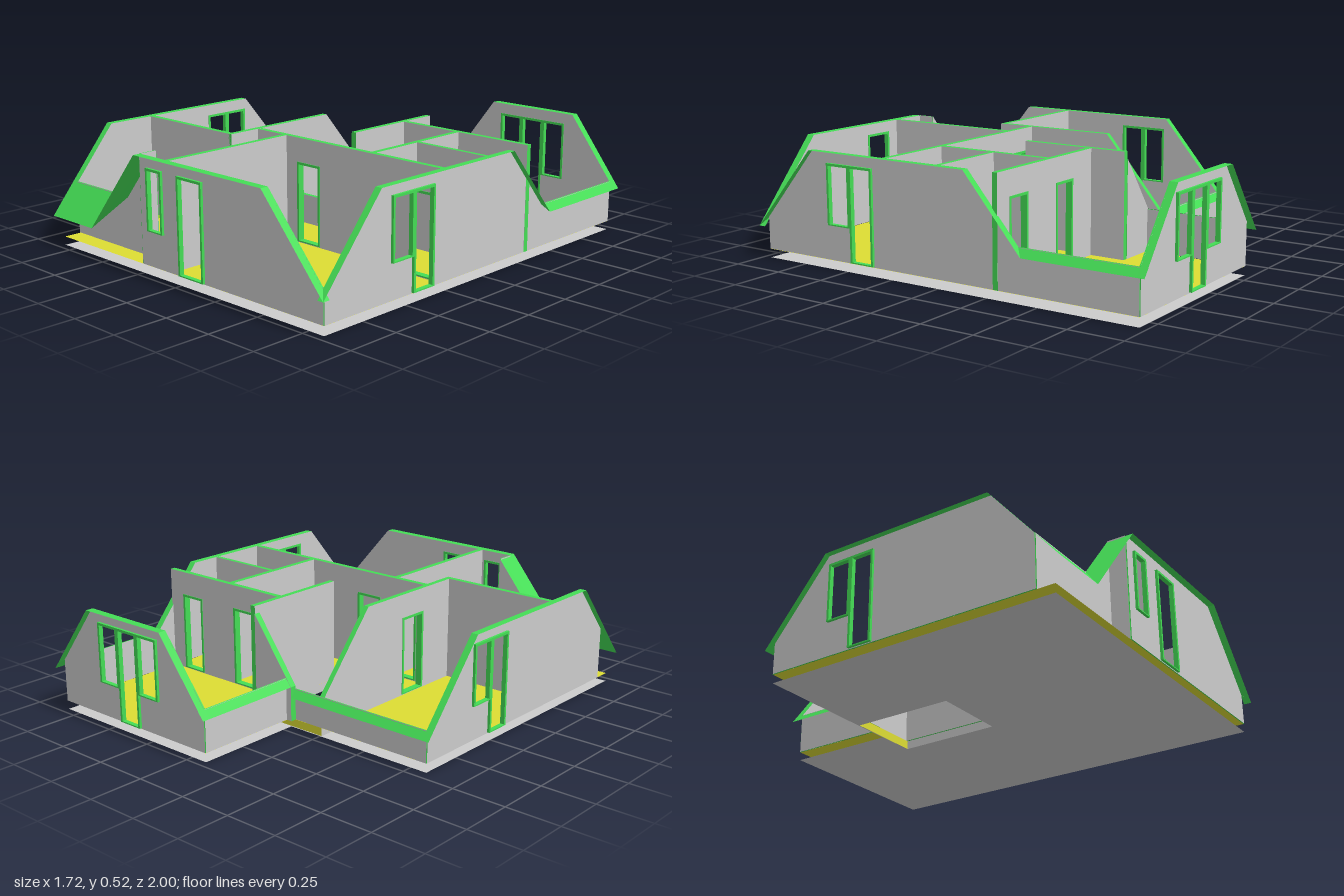
import * as THREE from 'three';

const FLOOR = 0.042, TOP = 0.525;

export function createModel() {
  const root = new THREE.Group();
  root.name = 'upperFloor';
  const mat = (color) => new THREE.MeshStandardMaterial({ color, side: THREE.DoubleSide, flatShading: true });
  const grey = mat(0xcccccc), green = mat(0x44dd55), yellow = mat(0xdddd33);

  const add = (name, geometry, material) => {
    const mesh = new THREE.Mesh(geometry, material);
    mesh.name = name;
    root.add(mesh);
    return mesh;
  };
  const poly = (pts) => new THREE.Shape(pts.map(([a, b]) => new THREE.Vector2(a, b)));
  const rect = (a0, a1, b0, b1) => [[a0, b0], [a1, b0], [a1, b1], [a0, b1]];

  // Extrude an upright outline running along x or z, between pos and pos + depth
  function upright(name, axis, pos, depth, shape, material) {
    const geo = new THREE.ExtrudeGeometry(shape, { depth, bevelEnabled: false });
    const mesh = add(name, geo, material);
    if (axis === 'x') mesh.position.z = pos;
    else {
      mesh.rotation.y = -Math.PI / 2;
      mesh.position.x = pos + depth;
    }
  }

  // Wall with grey faces, green cut edges and a green frame in each opening [u0, u1, y0, y1]
  function wall(name, axis, pos, depth, outline, openings = [], out = 0) {
    const shape = poly(outline);
    for (const [u0, u1, y0, y1] of openings) {
      shape.holes.push(poly(rect(u0, u1, y0, y1)));
      const frame = poly(rect(u0, u1, y0, y1)), t = 0.011;
      frame.holes.push(poly(rect(u0 + t, u1 - t, y0 + t / 2, y1 - t)));
      const from = pos - (out < 0 ? 0.012 : 0.003);
      upright(name + 'Frame', axis, from, depth + (out ? 0.015 : 0.006), frame, green);
    }
    upright(name, axis, pos, depth, shape, [grey, green]);
  }

  // Strip of quads between two rows of points
  function ribbon(name, a, b) {
    const pos = [], index = [];
    a.forEach((p, i) => {
      pos.push(...p, ...b[i]);
      if (i) index.push(2 * i - 2, 2 * i - 1, 2 * i, 2 * i, 2 * i - 1, 2 * i + 1);
    });
    const geo = new THREE.BufferGeometry();
    geo.setAttribute('position', new THREE.Float32BufferAttribute(pos, 3));
    geo.setIndex(index);
    const flat = geo.toNonIndexed();
    flat.computeVertexNormals();
    add(name, flat, green);
  }

  // Floor and underside sheets with the stairwell opening
  const plan = poly([[-0.83, 0.965], [0.83, 0.965], [0.83, -0.965], [-0.08, -0.965], [-0.08, -0.45], [-0.83, -0.45]]);
  plan.holes.push(poly(rect(-0.255, 0.105, -0.445, 0.045)));
  [['floor', 0.04, yellow], ['underside', 0, grey]].forEach(([name, y, m]) => {
    const geo = new THREE.ShapeGeometry(plan).rotateX(Math.PI / 2);
    add(name, geo, m).position.y = y;
  });
  for (const z of [-0.445, 0.045]) {
    add('stairwellEdge', new THREE.PlaneGeometry(0.36, 0.04), yellow).position.set(-0.075, 0.02, z);
  }
  for (const x of [-0.255, 0.105]) {
    add('stairwellSide', new THREE.PlaneGeometry(0.49, 0.04).rotateY(Math.PI / 2), grey).position.set(x, 0.02, -0.2);
  }

  // Outer walls: thin sheets cut by the roof slopes
  const D = 0.006;
  wall('frontWall', 'x', 0.962, D,
    [[-0.25, FLOOR], [0.83, FLOOR], [0.83, 0.185], [0.53, TOP], [-0.25, TOP]],
    [[-0.2, -0.1, 0.2, 0.475], [0, 0.155, 0.046, 0.475]], 1);
  wall('rightWall', 'z', 0.827, D,
    [[0.965, FLOOR], [0.965, 0.19], [0.68, TOP], [-0.16, TOP], [-0.41, 0.235], [-0.965, 0.235], [-0.965, FLOOR]],
    [[0.34, 0.467, 0.046, 0.475], [0.467, 0.594, 0.2, 0.475]], 1);
  wall('leftWall', 'z', -0.833, D,
    [[0.88, FLOOR], [0.88, 0.285], [0.68, TOP], [-0.16, TOP], [-0.45, 0.185], [-0.45, FLOOR]],
    [[-0.15, -0.03, 0.2, 0.475], [-0.03, 0.09, 0.046, 0.475]], -1);
  wall('backWall', 'x', -0.968, D,
    [[-0.08, FLOOR], [0.83, FLOOR], [0.83, 0.24], [0.61, TOP], [0.14, TOP], [-0.08, 0.24]],
    [[0.19, 0.315, 0.2, 0.475], [0.315, 0.44, 0.046, 0.475], [0.44, 0.565, 0.2, 0.475]], -1);
  wall('backKneeWall', 'x', -0.453, D, rect(-0.83, -0.1, FLOOR, 0.185));
  wall('wingKneeWall', 'z', -0.083, D, rect(-0.965, -0.46, FLOOR, 0.235));
  wall('frontKneeWall', 'x', 0.877, D,
    [[-0.83, FLOOR], [-0.25, FLOOR], [-0.25, TOP], [-0.45, 0.285], [-0.83, 0.285]]);
  wall('frontReturn', 'z', -0.255, D, rect(0.88, 0.965, FLOOR, TOP));

  // Roof edge strips along the tops of the outer walls
  const sideEdge = (x, pts) => pts.map(([z, y]) => [x, y, z]);
  const endEdge = (z, pts) => pts.map(([x, y]) => [x, y, z]);
  const rightTop = [[1, 0.15], [0.68, TOP], [-0.16, TOP]];
  ribbon('rightRoofEdge', sideEdge(0.83, [...rightTop, [-0.41, 0.237], [-1, 0.237]]),
    sideEdge(0.86, [...rightTop, [-0.44, 0.2], [-1, 0.2]]));
  const leftTop = [[0.88, 0.285], [0.68, TOP], [-0.16, TOP], [-0.48, 0.15]];
  ribbon('leftRoofEdge', sideEdge(-0.83, leftTop), sideEdge(-0.86, leftTop));
  const frontTop = [[-0.25, TOP], [0.53, TOP], [0.86, 0.15]];
  ribbon('frontRoofEdge', endEdge(0.965, frontTop), endEdge(1, frontTop));
  const backTop = [[-0.11, 0.2], [0.14, TOP], [0.61, TOP], [0.86, 0.2]];
  ribbon('backRoofEdge', endEdge(-0.965, backTop), endEdge(-1, backTop));
  ribbon('backEave', endEdge(-0.45, [[-0.86, 0.185], [-0.1, 0.185]]), endEdge(-0.48, [[-0.86, 0.15], [-0.1, 0.15]]));
  ribbon('wingEave', sideEdge(-0.08, [[-1, 0.237], [-0.46, 0.237]]), sideEdge(-0.11, [[-1, 0.2], [-0.46, 0.2]]));

  // Front left roof slope and the gable slope meeting it in a valley
  ribbon('frontRoofSlope', endEdge(0.88, [[-0.86, 0.285], [-0.45, 0.285]]), endEdge(1, [[-0.86, 0.14], [-0.57, 0.14]]));
  ribbon('gableRoofSlope', endEdge(0.88, [[-0.45, 0.285], [-0.25, TOP]]), endEdge(1, [[-0.57, 0.14], [-0.25, TOP]]));

  // Inner walls
  const T = 0.025, door = (a, b) => [a, b, 0.046, 0.415];
  const full = (a, b) => rect(a, b, FLOOR, TOP);
  wall('leftRoomWall', 'z', -0.277, T,
    [[0.45, FLOOR], [0.45, TOP], [-0.16, TOP], [-0.45, 0.185], [-0.45, FLOOR]], [door(0.08, 0.23)]);
  wall('leftRoomFrontWall', 'x', 0.425, T, full(-0.827, -0.253));
  wall('crossWall', 'x', 0.265, T, full(-0.25, 0.826),
    [door(-0.21, -0.09), door(0.005, 0.145), door(0.67, 0.8)]);
  wall('frontRoomWall', 'z', -0.087, T, full(0.29, 0.962));
  wall('frontReturnInner', 'z', -0.277, T, full(0.45, 0.88));
  root.remove(root.getObjectByName('frontReturnInner'));
  wall('wingWall', 'x', -0.312, T, full(0.13, 0.834), [door(0.28, 0.41), door(0.62, 0.75)]);
  wall('smallRoomsWall', 'z', 0.43, T, full(-0.287, 0.265));
  wall('smallRoomsDivider', 'x', -0.02, 0.02, full(0.455, 0.826));
  wall('stairWall', 'z', 0.102, T, full(-0.48, 0.04));
  wall('stairBackWall', 'x', -0.482, 0.03, [[-0.11, FLOOR], [0.102, FLOOR], [0.102, 0.49], [-0.11, 0.2]]);
  wall('stairBalustrade', 'x', 0.032, 0.02, rect(-0.252, -0.04, FLOOR, 0.18));

  return root;
}
